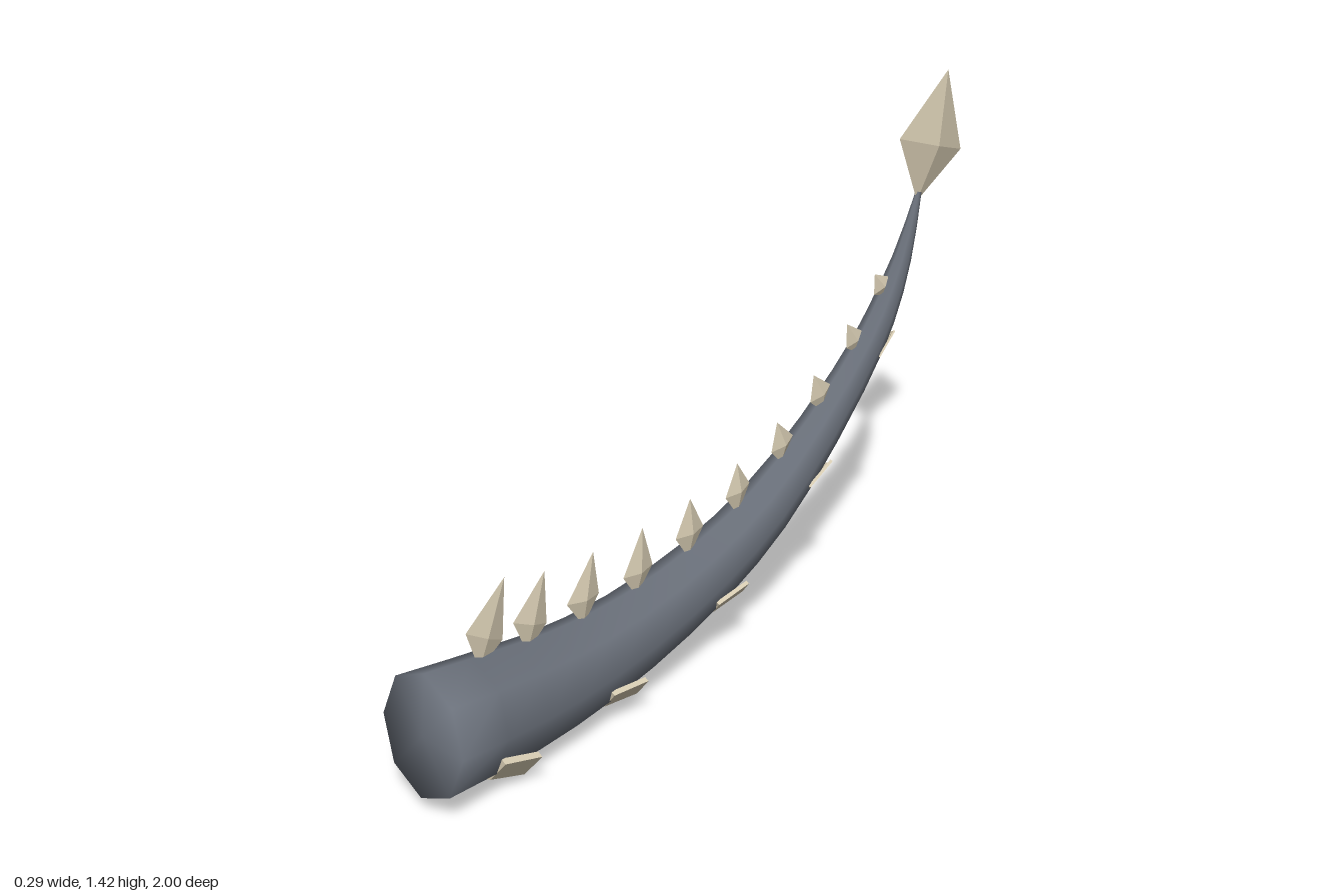
import * as THREE from 'three';
import { ConvexGeometry } from 'three/addons/geometries/ConvexGeometry.js';

// Spine of the tail: each point holds (radius, y, z)
const spine = new THREE.CatmullRomCurve3([
  [0.166, 0.21, 0.98], [0.15, 0.184, 0.72], [0.131, 0.179, 0.5], [0.113, 0.207, 0.25],
  [0.098, 0.272, 0], [0.084, 0.36, -0.2], [0.068, 0.5, -0.4], [0.052, 0.685, -0.6],
  [0.043, 0.8, -0.688], [0.027, 0.94, -0.763], [0.009, 1.1, -0.818],
].map((p) => new THREE.Vector3(...p)));
const FLATTEN = 0.88; // width relative to height

// Point around the spine; angle 0 is the top, PI the belly
function aroundSpine(u, angle, offset = 0, along = 0) {
  const p = spine.getPoint(u);
  const t = spine.getTangent(u);
  const len = Math.hypot(t.y, t.z);
  const ty = t.y / len, tz = t.z / len;
  const r = p.x * (1 + offset);
  const up = r * Math.cos(angle);
  return new THREE.Vector3(
    r * FLATTEN * Math.sin(angle),
    p.y - tz * up + ty * along,
    p.z + ty * up + tz * along,
  );
}

// Spine parameter at a given z (z falls steadily along the tail)
function spineAtZ(z) {
  let lo = 0, hi = 1;
  for (let i = 0; i < 30; i++) {
    const mid = (lo + hi) / 2;
    if (spine.getPoint(mid).z > z) lo = mid; else hi = mid;
  }
  return lo;
}

// Skin a row of equal cross-sections and close both ends
function loft(sections) {
  const n = sections[0].length;
  const last = sections.length - 1;
  const points = sections.flat();
  const index = [];
  for (let i = 0; i < last; i++) {
    for (let j = 0; j < n; j++) {
      const a = i * n + j, b = i * n + (j + 1) % n;
      index.push(a, b, a + n, b, b + n, a + n);
    }
  }
  for (const end of [0, last]) {
    const centre = new THREE.Vector3();
    sections[end].forEach((p) => centre.addScaledVector(p, 1 / n));
    const c = points.push(centre) - 1;
    for (let j = 0; j < n; j++) {
      const a = end * n + j, b = end * n + (j + 1) % n;
      index.push(c, ...(end === 0 ? [b, a] : [a, b]));
    }
  }
  const geometry = new THREE.BufferGeometry().setFromPoints(points);
  geometry.setIndex(index);
  geometry.computeVertexNormals();
  return geometry;
}

function faceted(geometry) {
  const flat = geometry.toNonIndexed();
  flat.computeVertexNormals();
  return flat;
}

// Diamond from its side outline [z, y] corners and its two half widths
function diamond([tip, front, base, back], left, right) {
  const at = (x, [z, y]) => new THREE.Vector3(x, y, z);
  const mid = [(front[0] + back[0]) / 2, (front[1] + back[1]) / 2];
  return new ConvexGeometry([
    at(0, tip), at(0, front), at(0, base), at(0, back), at(left, mid), at(-right, mid),
  ]);
}

// Spike outlines: tip, front, base, back as z, y pairs
const SPIKES = [
  [0.71, 0.525, 0.835, 0.424, 0.80, 0.31, 0.725, 0.36],
  [0.585, 0.49, 0.69, 0.39, 0.65, 0.29, 0.585, 0.345],
  [0.425, 0.478, 0.517, 0.365, 0.465, 0.285, 0.41, 0.355],
  [0.255, 0.478, 0.325, 0.36, 0.28, 0.29, 0.222, 0.36],
  [0.083, 0.495, 0.137, 0.397, 0.09, 0.325, 0.035, 0.398],
  [-0.094, 0.532, -0.05, 0.445, -0.096, 0.38, -0.142, 0.457],
  [-0.249, 0.597, -0.228, 0.515, -0.267, 0.472, -0.314, 0.537],
  [-0.394, 0.687, -0.383, 0.61, -0.434, 0.57, -0.464, 0.638],
  [-0.528, 0.795, -0.528, 0.724, -0.564, 0.705, -0.592, 0.757],
  [-0.64, 0.908, -0.64, 0.848, -0.676, 0.836, -0.70, 0.885],
];

// Belly plates: z on the spine, half length
const PLATES = [[0.785, 0.05], [0.415, 0.052], [0.025, 0.053], [-0.34, 0.048], [-0.635, 0.042]];

export function createModel() {
  const group = new THREE.Group();
  const hide = new THREE.MeshStandardMaterial({ color: 0x6a707a });
  hide.name = 'slate hide';
  const bone = new THREE.MeshStandardMaterial({ color: 0xd4c9b0 });
  bone.name = 'pale bone';
  const add = (name, geometry, material) => {
    const mesh = new THREE.Mesh(geometry, material);
    mesh.name = name;
    group.add(mesh);
  };

  // Smooth eight-sided tapering tail
  const rings = [];
  for (let i = 0; i <= 18; i++) {
    rings.push(Array.from({ length: 8 }, (_, j) => aroundSpine(i / 18, j * Math.PI / 4)));
  }
  add('tail', loft(rings), hide);

  // Row of spikes along the top
  SPIKES.forEach((s, i) => {
    const corners = [0, 2, 4, 6].map((k) => [s[k], s[k + 1]]);
    add(`spike${i + 1}`, diamond(corners, 0.015, 0.015), bone);
  });

  // Blade at the tip
  add('tipBlade', diamond(
    [[-0.925, 1.42], [-0.725, 1.27], [-0.812, 1.075], [-1, 1.18]], 0.029, 0.021), bone);

  // Overlapping belly plates, flared towards the tip
  PLATES.forEach(([z, half], i) => {
    const u = spineAtZ(z);
    const sections = [-2, -1, 0, 1, 2].map((k) => {
      const a = Math.PI + k * 0.56;
      return [
        aroundSpine(u, a, -0.08, -half), aroundSpine(u, a, 0.08, half),
        aroundSpine(u, a, 0.2, half), aroundSpine(u, a, 0.05, -half),
      ];
    });
    add(`bellyPlate${i + 1}`, faceted(loft(sections)), bone);
  });

  return group;
}
